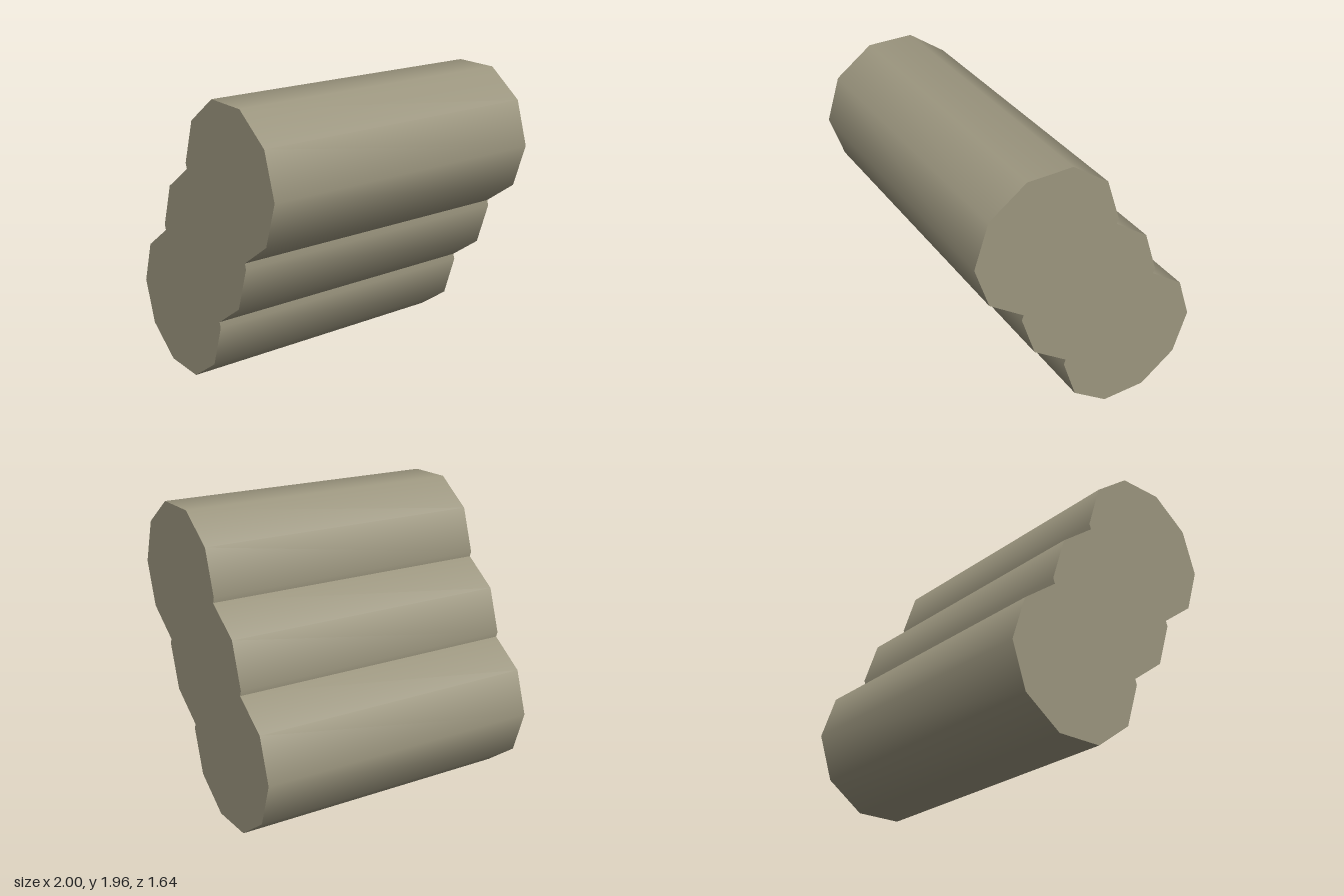
import * as THREE from 'three';

export function createModel() {
  const model = new THREE.Group();
  model.name = 'logStack';
  const material = new THREE.MeshStandardMaterial({ color: 0x9c967f });

  // Ten-sided log lying along x, with a corner at the front and a flat top
  const radius = 0.5;
  const halfHeight = radius * Math.sin(Math.PI * 0.4);
  const geometry = new THREE.CylinderGeometry(radius, radius, 2, 10);
  geometry.rotateZ(Math.PI / 2);

  // Three overlapping logs, stepping up and forward
  ['lowerLog', 'middleLog', 'upperLog'].forEach((name, i) => {
    const log = new THREE.Mesh(geometry, material);
    log.name = name;
    log.position.set(0, halfHeight + i * 0.502, (i - 1) * 0.32);
    model.add(log);
  });

  return model;
}
